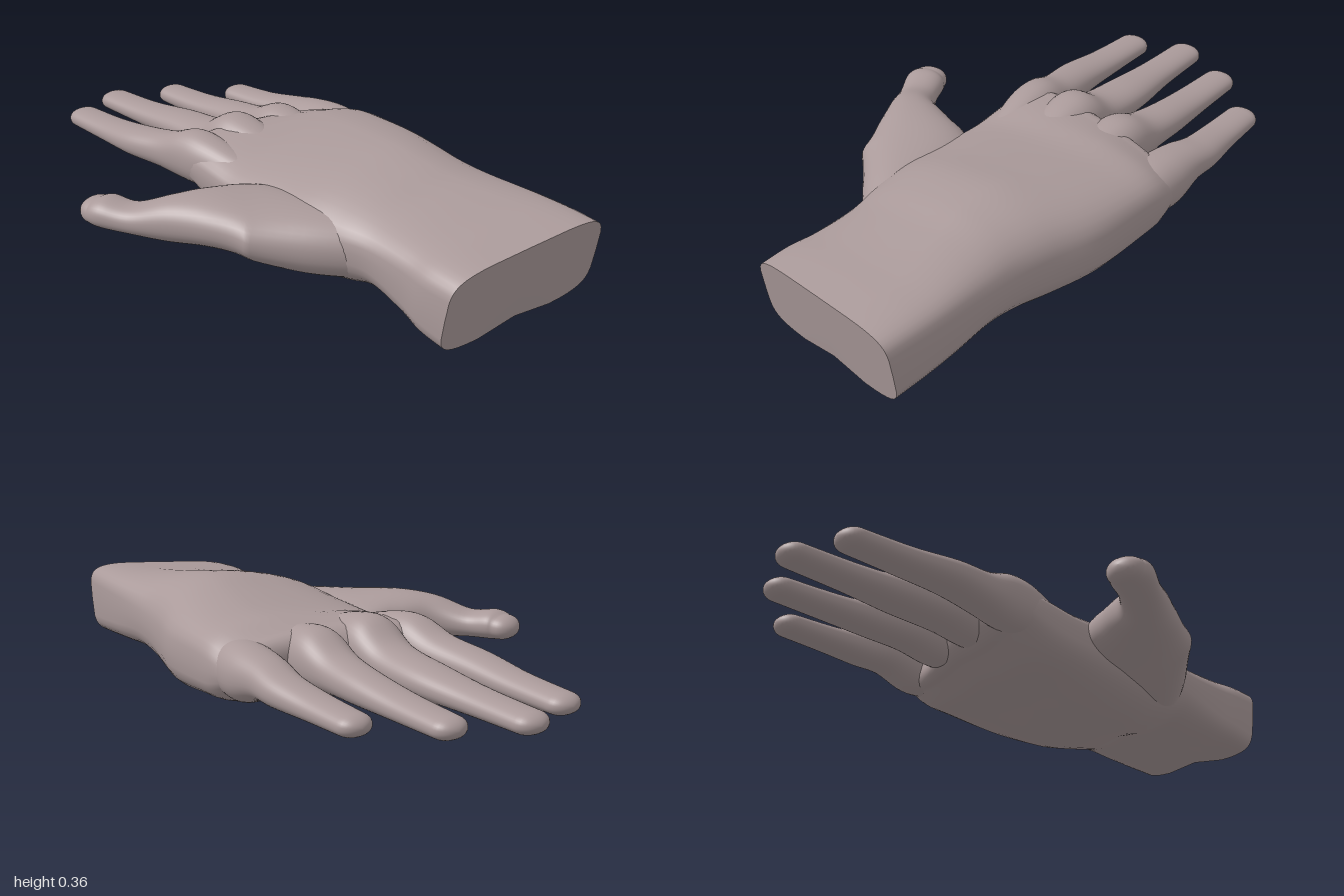
import * as THREE from 'three';

const SIDES = 40, STEPS = 6, DOME = 8;
const skin = new THREE.MeshStandardMaterial({ color: 0xaa9a9a });
skin.name = 'skin';

// Smooth interpolation through a list of stations (rows of numbers)
function smoothStations(rows) {
  const out = [];
  const at = i => rows[Math.max(0, Math.min(rows.length - 1, i))];
  for (let i = 0; i < rows.length - 1; i++) {
    for (let k = 0; k < STEPS; k++) {
      const t = k / STEPS;
      out.push(rows[i].map((b, c) => {
        const a = at(i - 1)[c], d = at(i + 1)[c], e = at(i + 2)[c];
        return 0.5 * (2 * b + (d - a) * t + (2 * a - 5 * b + 4 * d - e) * t * t + (3 * b - a - 3 * d + e) * t * t * t);
      }));
    }
  }
  out.push([...rows[rows.length - 1]]);
  return out;
}

// Loft of superellipse rings [x, y, z, halfWidth, halfHeight, exponent],
// with a flat start and a rounded end. "turn" makes the rings follow the path.
function loft(name, rows, dome, { turn = false, warp = null } = {}) {
  const st = smoothStations(rows);
  const rings = st.map((s, i) => {
    const a = st[Math.max(0, i - 1)], b = st[Math.min(st.length - 1, i + 1)];
    const d = turn ? new THREE.Vector3(b[0] - a[0], 0, b[2] - a[2]).normalize() : new THREE.Vector3(0, 0, -1);
    return { s, d };
  });
  const last = rings[rings.length - 1];
  for (let k = 1; k <= DOME; k++) {
    const a = Math.min(k / DOME, 0.985) * Math.PI / 2, f = Math.cos(a), g = dome * Math.sin(a);
    const [x, y, z, w, h, n] = last.s;
    rings.push({ s: [x + last.d.x * g, y, z + last.d.z * g, w * f, h * f, n], d: last.d });
  }

  const pos = [], idx = [];
  const addRing = ({ s: [x, y, z, w, h, n], d }) => {
    for (let j = 0; j < SIDES; j++) {
      const a = j / SIDES * Math.PI * 2, c = Math.cos(a), q = Math.sin(a);
      const u = Math.sign(c) * Math.abs(c) ** (2 / n), v = Math.sign(q) * Math.abs(q) ** (2 / n);
      const p = new THREE.Vector3(x - d.z * w * u, y + h * v, z + d.x * w * u);
      if (warp) warp(p, u, v, z);
      pos.push(p.x, p.y, p.z);
    }
  };
  const addCentre = ({ s: [x, y, z] }) => {
    const p = new THREE.Vector3(x, y, z);
    if (warp) warp(p, 0, 0, z);
    pos.push(p.x, p.y, p.z);
    return pos.length / 3 - 1;
  };

  rings.forEach(addRing);
  for (let i = 0; i < rings.length - 1; i++) {
    for (let j = 0; j < SIDES; j++) {
      const a = i * SIDES + j, b = i * SIDES + (j + 1) % SIDES;
      idx.push(a, a + SIDES, b, b, a + SIDES, b + SIDES);
    }
  }
  // Rounded tip closes on a point, the start has its own sharp-edged cap
  const end = (rings.length - 1) * SIDES, tip = addCentre(rings[rings.length - 1]);
  const cap = pos.length / 3;
  addRing(rings[0]);
  const mid = addCentre(rings[0]);
  for (let j = 0; j < SIDES; j++) {
    const k = (j + 1) % SIDES;
    idx.push(end + j, tip, end + k, mid, cap + j, cap + k);
  }

  const geo = new THREE.BufferGeometry();
  geo.setAttribute('position', new THREE.Float32BufferAttribute(pos, 3));
  geo.setIndex(idx);
  geo.computeVertexNormals();
  const mesh = new THREE.Mesh(geo, skin);
  mesh.name = name;
  return mesh;
}

// Wrist and palm: left x, right x, top, bottom, z, squareness
function makePalm() {
  const rows = [
    [-0.118, 0.465, 0.287, 0.025, 0.95, 5],
    [-0.118, 0.475, 0.297, 0.033, 0.85, 4.5],
    [-0.105, 0.48, 0.307, 0.043, 0.75, 4],
    [-0.105, 0.48, 0.33, 0.045, 0.6, 3],
    [-0.13, 0.485, 0.352, 0.012, 0.48, 2.6],
    [-0.15, 0.51, 0.36, -0.01, 0.35, 2.6],
    [-0.15, 0.55, 0.342, 0.008, 0.2, 2.8],
    [-0.145, 0.565, 0.322, 0.04, 0.03, 3.2],
    [-0.145, 0.57, 0.318, 0.055, -0.1, 3],
    [-0.145, 0.562, 0.298, 0.095, -0.2, 2.6],
  ].map(([l, r, t, b, z, n]) => [(l + r) / 2, (t + b) / 2, z, (r - l) / 2, (t - b) / 2, n]);
  return loft('palm', rows, 0.08, {
    warp(p, u, v, z) {
      const wrist = THREE.MathUtils.smoothstep(z, 0.5, 0.95);
      const knuckles = 1 - THREE.MathUtils.smoothstep(z, -0.26, 0);
      // slanted wrist cut, slanted knuckle line
      p.z += wrist * (0.03 * u + 0.02 * v) + knuckles * 0.05 * u;
      p.y += wrist * 0.025 * u - knuckles * 0.015 * u;
      // hollow under the palm, back of the hand falling towards the thumb
      if (v < 0) p.y -= 0.018 * v * Math.exp(-((u / 0.25) ** 2));
      else p.y -= (1 - wrist) * (1 - knuckles) * 0.042 * v * Math.max(0, 0.25 - u);
    },
  });
}

// Finger: x and half width at base, middle and tip, then web z, tip z, base height and half height
function makeFinger([name, xb, wb, xm, wm, xt, wt, web, tip, yb, hb]) {
  const end = tip + 0.05, len = end - web, n = 2.2;
  return loft(name, [
    [xb * 0.9 + 0.02, yb - 0.01, web + 0.24, wb * 0.7, hb * 0.7, n],
    [xb * 0.97 + 0.006, yb, web + 0.1, wb * 0.95, hb * 0.97, n],
    [xb, yb, web, wb, hb, n],
    [xb * 0.6 + xm * 0.4, 0.198, web - 0.11, wb * 0.4 + wm * 0.6, 0.063, n],
    [xm, 0.188, web + len * 0.42, wm, 0.05, n],
    [xm * 0.4 + xt * 0.6, 0.176, web + len * 0.7, wt * 1.03, 0.039, n],
    [xt, 0.17, end, wt * 0.95, 0.033, n],
  ], 0.05);
}

// Thumb, sweeping out from the heel of the palm
function makeThumb() {
  return loft('thumb', [
    [0.0, 0.155, 0.47, 0.12, 0.1, 2.2],
    [-0.1, 0.165, 0.36, 0.137, 0.1, 2.2],
    [-0.19, 0.187, 0.21, 0.182, 0.085, 2.2],
    [-0.298, 0.2, 0.113, 0.127, 0.078, 2.2],
    [-0.388, 0.193, 0.03, 0.082, 0.07, 2.2],
    [-0.46, 0.178, -0.07, 0.066, 0.046, 2.2],
    [-0.502, 0.184, -0.15, 0.07, 0.049, 2.2],
    [-0.514, 0.18, -0.187, 0.062, 0.042, 2.2],
  ], 0.054, { turn: true });
}

export function createModel() {
  const hand = new THREE.Group();
  hand.name = 'hand';
  hand.add(makePalm(), makeThumb());
  [
    ['indexFinger', -0.073, 0.081, -0.112, 0.073, -0.12, 0.061, -0.28, -0.93, 0.212, 0.088],
    ['middleFinger', 0.09, 0.095, 0.088, 0.078, 0.065, 0.062, -0.28, -1.0, 0.22, 0.1],
    ['ringFinger', 0.278, 0.09, 0.283, 0.069, 0.27, 0.06, -0.27, -0.91, 0.212, 0.095],
    ['littleFinger', 0.477, 0.09, 0.486, 0.069, 0.463, 0.059, -0.2, -0.75, 0.188, 0.088],
  ].forEach(f => hand.add(makeFinger(f)));
  return hand;
}
